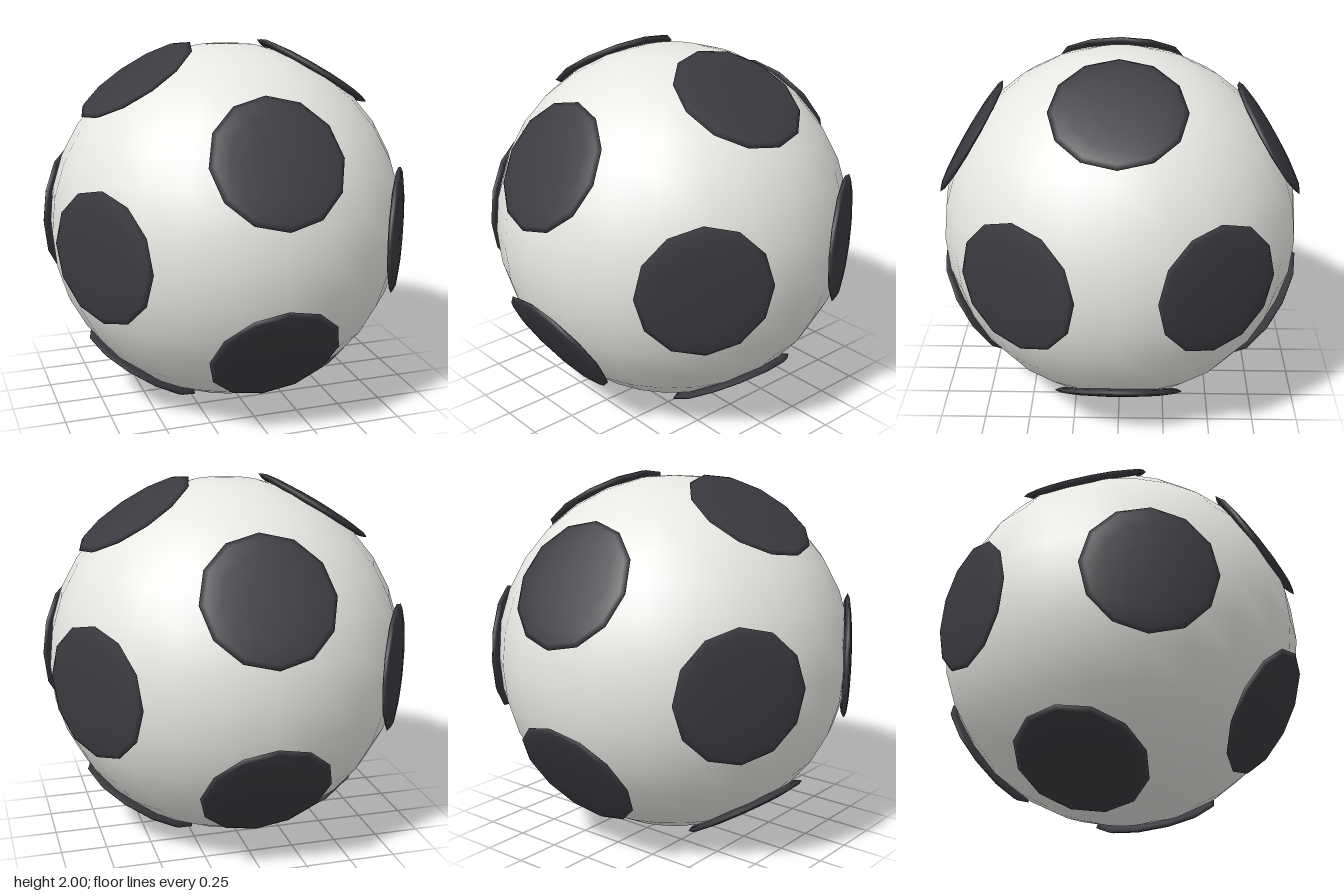
import * as THREE from 'three';

const BALL_RADIUS = 0.985;
const PATCH_RADIUS = 0.353;
const PATCH_HALF_THICKNESS = 0.033;
const PATCH_DISTANCE = 0.957;

// The twelve corners of an icosahedron
function patchDirections() {
  const phi = (1 + Math.sqrt(5)) / 2;
  const directions = [];
  for (const a of [-1, 1]) {
    for (const b of [-phi, phi]) {
      directions.push(
        new THREE.Vector3(0, a, b).normalize(),
        new THREE.Vector3(a, b, 0).normalize(),
        new THREE.Vector3(b, 0, a).normalize()
      );
    }
  }
  return directions;
}

export function createModel() {
  const white = new THREE.MeshStandardMaterial({ color: 0xe8e8e4 });
  white.name = 'off-white leather';
  const dark = new THREE.MeshStandardMaterial({ color: 0x3a3a40 });
  dark.name = 'charcoal leather';

  const model = new THREE.Group();
  model.name = 'ball';

  // Ball body
  const body = new THREE.Mesh(new THREE.SphereGeometry(BALL_RADIUS, 24, 16), white);
  body.name = 'ballBody';
  body.position.y = 1;
  model.add(body);

  // Flattened twelve-sided patches lying on the surface
  const patchGeometry = new THREE.SphereGeometry(1, 12, 8);
  patchGeometry.scale(PATCH_RADIUS, PATCH_HALF_THICKNESS, PATCH_RADIUS);
  const up = new THREE.Vector3(0, 1, 0);
  const patches = new THREE.Group();
  patches.name = 'patches';
  patches.position.y = 1;
  patchDirections().forEach((direction, i) => {
    const patch = new THREE.Mesh(patchGeometry, dark);
    patch.name = `patch${i + 1}`;
    patch.position.copy(direction).multiplyScalar(PATCH_DISTANCE);
    patch.quaternion.setFromUnitVectors(up, direction);
    patches.add(patch);
  });
  model.add(patches);

  return model;
}
